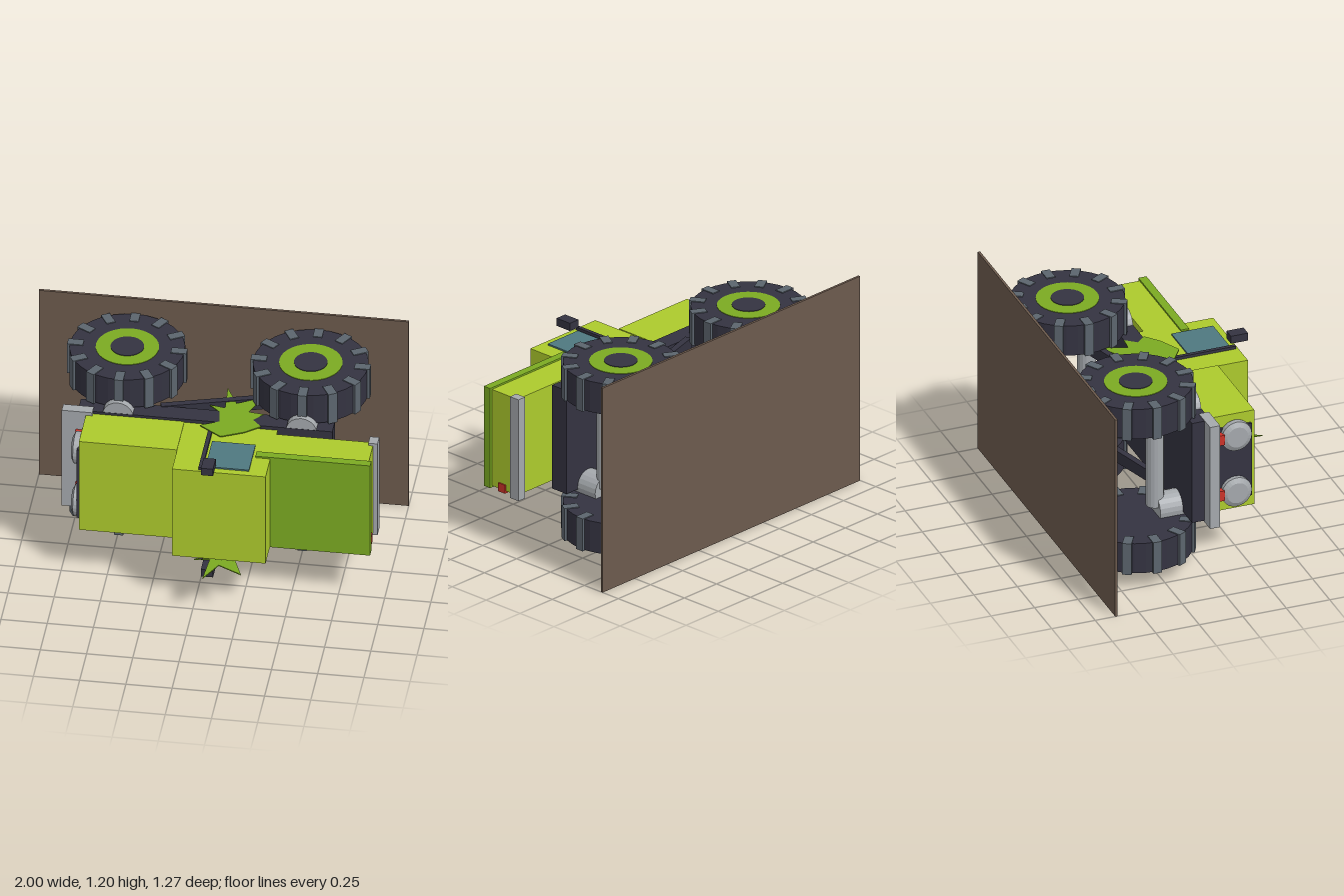
import * as THREE from 'three';

const mat = (name, color) => {
  const m = new THREE.MeshStandardMaterial({ color, flatShading: true });
  m.name = name;
  return m;
};

export function createModel() {
  const lime = mat('lime paint', 0xadcb2d);
  const green = mat('leaf green paint', 0x7cab22);
  const dark = mat('dark rubber', 0x343341);
  const slate = mat('slate tread', 0x5c656e);
  const grey = mat('light grey metal', 0xa5a9ad);
  const glass = mat('teal glass', 0x4f7880);
  const red = mat('red light', 0xcc3329);
  const brown = mat('brown ground', 0x6c5a4d);

  const model = new THREE.Group();
  const MID = 0.6; // mirror plane of the vehicle, which lies on its side

  const add = (name, geo, material, x, y, z, parent = model) => {
    const mesh = new THREE.Mesh(geo, material);
    mesh.name = name;
    mesh.position.set(x, y, z);
    parent.add(mesh);
    return mesh;
  };
  // box from its limits on each axis
  const box = (name, material, [x0, x1], [y0, y1], [z0, z1]) =>
    add(name, new THREE.BoxGeometry(x1 - x0, y1 - y0, z1 - z0), material,
      (x0 + x1) / 2, (y0 + y1) / 2, (z0 + z1) / 2);

  // ground slab
  box('groundSlab', brown, [-1, 1], [0, 1.2], [-0.635, -0.621]);

  // chassis and bumpers
  box('chassis', dark, [-0.69, 0.685], [0.298, 0.905], [-0.07, 0.037]);
  box('frontBumper', grey, [-0.775, -0.61], [0.29, 0.91], [0, 0.058]);
  box('rearBumper', grey, [0.89, 0.94], [0.305, 0.9], [0.043, 0.106]);

  // bodywork
  box('hood', lime, [-0.645, -0.115], [0.315, 0.89], [0.035, 0.305]);
  box('cab', lime, [-0.115, 0.39], [0.32, 0.885], [0.035, 0.478]);
  box('bed', lime, [0.39, 0.915], [0.32, 0.885], [0.075, 0.265]);
  box('bedCover', green, [0.31, 0.93], [0.31, 0.895], [0.262, 0.308]);
  box('cabPillar', dark, [0.025, 0.047], [0.303, 0.902], [0.105, 0.465]);
  box('grille', dark, [-0.66, -0.64], [0.38, 0.82], [0.07, 0.285]);
  box('tailLight', red, [0.9, 0.922], [0.306, 0.356], [0.16, 0.21]);

  // jagged splash outline in x, z
  const splash = new THREE.Shape([
    [-0.025, 0.08], [0.075, 0.03], [0.06, -0.06], [0, -0.115], [0.085, -0.1],
    [0.072, -0.285], [0.14, -0.15], [0.27, -0.22], [0.215, -0.08], [0.3, -0.07],
    [0.25, -0.01], [0.3, 0.045], [0.22, 0.11], [0.1, 0.168],
  ].map(([x, z]) => new THREE.Vector2(x, z)));
  const splashGeo = new THREE.ExtrudeGeometry(splash, { depth: 0.006, bevelEnabled: false });
  splashGeo.rotateX(Math.PI / 2);

  // wheel parts, axle along y
  const tyreGeo = new THREE.CylinderGeometry(0.31, 0.31, 0.18, 32);
  const rimGeo = new THREE.CylinderGeometry(0.17, 0.17, 0.02, 32);
  const hubGeo = new THREE.CylinderGeometry(0.09, 0.09, 0.024, 24);
  const lugGeo = new THREE.BoxGeometry(0.085, 0.19, 0.05);
  const wheel = (x, side) => {
    const g = new THREE.Group();
    g.name = 'wheel';
    g.position.set(x, MID + side * 0.41, -0.31);
    model.add(g);
    add('tyre', tyreGeo, dark, 0, 0, 0, g);
    add('rim', rimGeo, green, 0, side * 0.083, 0, g);
    add('hub', hubGeo, dark, 0, side * 0.084, 0, g);
    for (let i = 0; i < 12; i++) {
      const a = (i * Math.PI) / 6;
      const lug = add('treadLug', lugGeo, slate, 0.28 * Math.cos(a), 0, -0.28 * Math.sin(a), g);
      lug.rotation.y = a;
    }
  };

  const shockGeo = new THREE.CylinderGeometry(0.083, 0.083, 0.235, 20).rotateX(Math.PI / 2);
  const axleGeo = new THREE.CylinderGeometry(0.05, 0.05, 0.54, 16);
  const strutGeo = new THREE.BoxGeometry(0.6, 0.07, 0.036);
  const lensGeo = new THREE.CylinderGeometry(0.06, 0.087, 0.014, 24).rotateZ(Math.PI / 2);
  const lampGeo = new THREE.CylinderGeometry(0.087, 0.087, 0.03, 24).rotateZ(Math.PI / 2);

  // axles
  for (const x of [-0.475, 0.517]) add('axle', axleGeo, grey, x, MID, -0.2);

  // everything mirrored on both flanks
  for (const side of [-1, 1]) {
    for (const x of [-0.475, 0.517]) {
      wheel(x, side);
      add('shock', shockGeo, grey, x, MID + side * 0.29, -0.082);
    }
    const strut = add('strut', strutGeo, dark, 0.03, MID + side * 0.275, -0.157);
    strut.rotation.y = 0.285;

    add('window', new THREE.BoxGeometry(0.235, 0.009, 0.24), glass, 0.177, MID + side * 0.289, 0.32);
    add('mirror', new THREE.BoxGeometry(0.066, 0.045, 0.098), dark, 0.083, MID + side * 0.33, 0.495);

    // round headlight with a small red lamp under it
    const y = MID + side * 0.17;
    add('headlight', lampGeo, grey, -0.668, y, 0.19);
    add('headlightLens', lensGeo, grey, -0.69, y, 0.19);
    add('frontMarker', red && new THREE.BoxGeometry(0.035, 0.06, 0.05), red, -0.68, y, 0.09);

    // the lower splash is the upper one turned over
    const s = add('splash', splashGeo, green, 0, MID + side * 0.306, side > 0 ? 0 : 0.35);
    if (side < 0) s.rotation.x = Math.PI;
  }
  return model;
}
